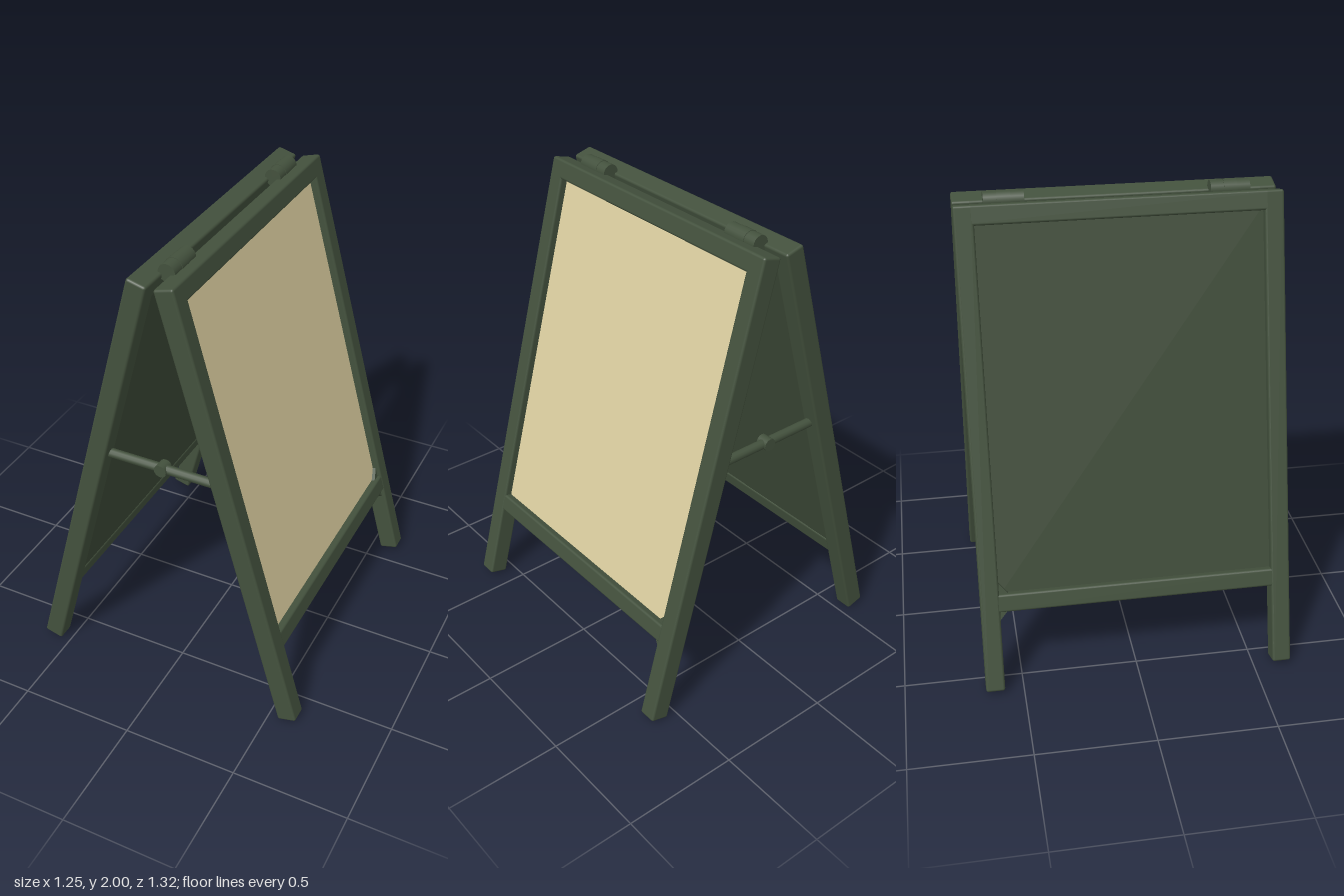
import * as THREE from 'three';
import { RoundedBoxGeometry } from 'three/addons/geometries/RoundedBoxGeometry.js';

const LEAN = 0.2653;     // tilt of each board
const LENGTH = 2.025;    // leg length
const DEPTH = 0.085;     // frame thickness
const LEG_Z = 0.621;
const LEG_W = 0.08;

const green = new THREE.MeshStandardMaterial({ color: 0x43513d });
green.name = 'frame green';
const darkGreen = new THREE.MeshStandardMaterial({ color: 0x3e4b38 });
darkGreen.name = 'panel green';
const cream = new THREE.MeshStandardMaterial({ color: 0xdccfa0 });
cream.name = 'panel cream';

function add(parent, name, geometry, material, x = 0, y = 0, z = 0) {
  const mesh = new THREE.Mesh(geometry, material);
  mesh.name = name;
  mesh.position.set(x, y, z);
  parent.add(mesh);
  return mesh;
}

const beam = (x, y, z) => new RoundedBoxGeometry(x, y, z, 2, 0.01);

// Small triangular corner brace lying in the board plane
function gusset(parent, y, dir, size) {
  const shape = new THREE.Shape();
  const z = LEG_Z - LEG_W / 2 + 0.005;
  shape.moveTo(z, y);
  shape.lineTo(z - size, y);
  shape.lineTo(z, y + dir * size * 1.2);
  const geometry = new THREE.ExtrudeGeometry(shape, { depth: 0.05, bevelEnabled: false });
  geometry.translate(0, 0, -0.025);
  geometry.rotateY(Math.PI / 2);
  add(parent, 'cornerBrace', geometry, green);
}

// One framed board; side is +1 or -1 along x
function board(side, panelMaterial) {
  const g = new THREE.Group();
  g.name = side > 0 ? 'leftBoard' : 'rightBoard';
  g.position.set(side * 0.585, 0.012, 0);
  g.rotation.z = side * LEAN;

  for (const s of [-1, 1]) {
    add(g, 'leg', beam(DEPTH, LENGTH, LEG_W), green, 0, LENGTH / 2, s * LEG_Z);
  }
  const span = 2 * LEG_Z - LEG_W + 0.04;
  add(g, 'topRail', beam(DEPTH, 0.08, span), green, 0, LENGTH - 0.04, 0);
  add(g, 'bottomRail', beam(DEPTH - 0.004, 0.078, span), green, 0, 0.388, 0);

  // Panel, recessed on the outside and nearly flush inside
  add(g, 'panel', new THREE.BoxGeometry(0.045, LENGTH - 0.46, span - 0.03), panelMaterial,
    side * -0.013, (LENGTH - 0.08 + 0.427) / 2, 0);

  gusset(g, 0.352, -1, 0.04);
  gusset(g, 0.425, 1, 0.045);
  return g;
}

// Folding stay between a pair of legs
function stay(z) {
  const g = new THREE.Group();
  g.name = 'foldingStay';
  g.position.set(0, 1.13, z);
  const bar = new THREE.CylinderGeometry(0.02, 0.02, 0.26, 12);
  bar.rotateZ(Math.PI / 2);
  for (const s of [-1, 1]) add(g, 'stayBar', bar, green, s * 0.125, 0, 0);
  const pivot = new THREE.CylinderGeometry(0.027, 0.027, 0.05, 16);
  pivot.rotateX(Math.PI / 2);
  add(g, 'stayPivot', pivot, green);
  return g;
}

// Barrel hinge with knuckles across the top gap
function hinge(z) {
  const g = new THREE.Group();
  g.name = 'hinge';
  g.position.set(0.004, 1.962, z);
  [0.036, 0.038, 0.036].forEach((r, i) => {
    const knuckle = new THREE.CylinderGeometry(r, r, 0.054, 20);
    knuckle.rotateX(Math.PI / 2);
    add(g, 'knuckle', knuckle, green, 0, 0, (i - 1) * 0.054);
  });
  return g;
}

export function createModel() {
  const model = new THREE.Group();
  model.name = 'sandwichBoard';
  model.add(board(1, cream), board(-1, darkGreen));
  for (const s of [-1, 1]) {
    model.add(stay(s * 0.612), hinge(s * 0.457));
  }
  return model;
}
